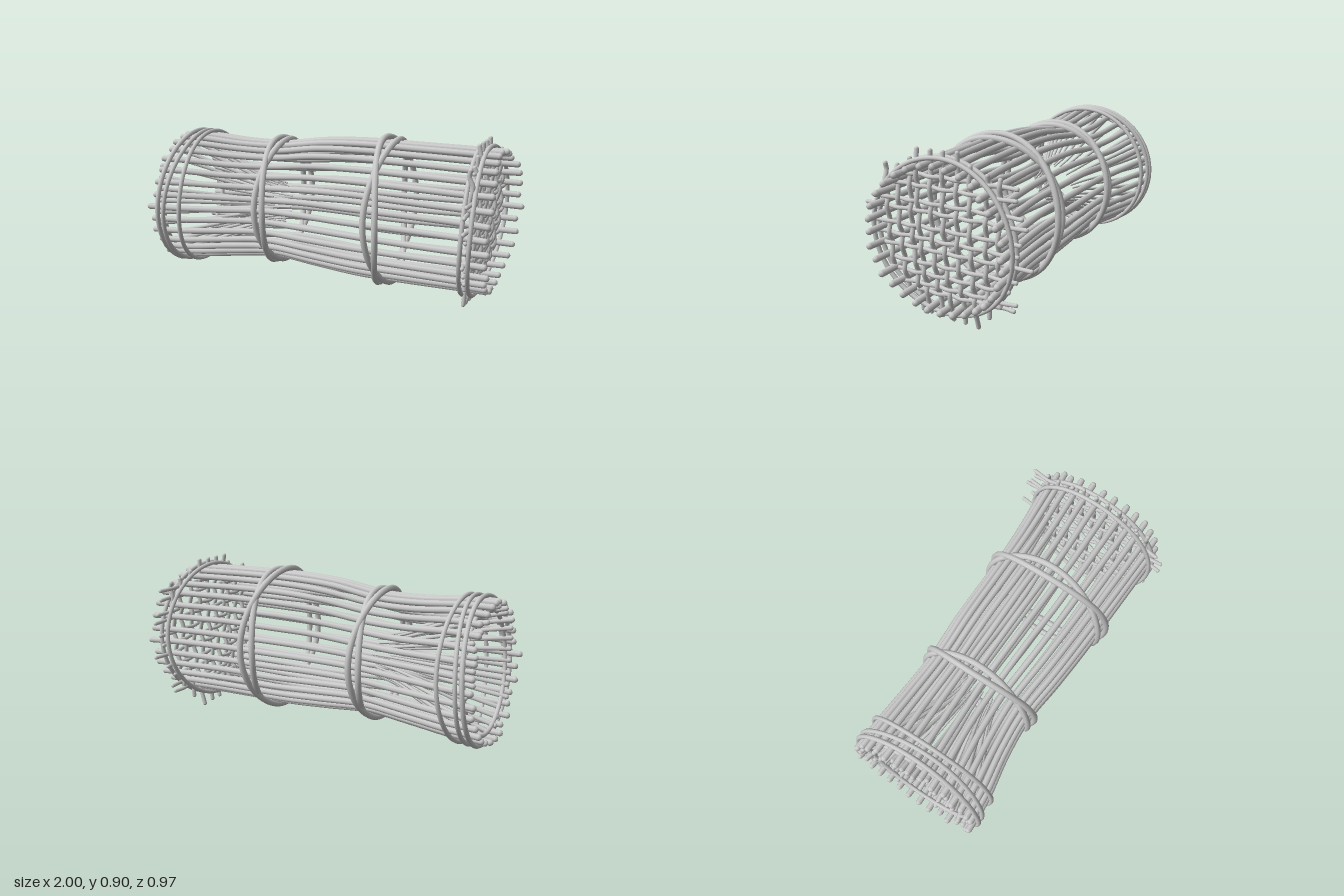
import * as THREE from 'three';
import { mergeGeometries } from 'three/addons/utils/BufferGeometryUtils.js';

const V = (x, y, z) => new THREE.Vector3(x, y, z);
const material = new THREE.MeshStandardMaterial({ color: 0xcccccc });

// small seeded generator, -1..1
let seed = 7;
const jitter = () => {
  seed = (seed * 16807) % 2147483647;
  return (seed / 2147483647) * 2 - 1;
};

// round cane through the points, optionally tapered, with rounded ends
function cane(points, r0, r1 = r0, segments = 24) {
  const sides = 8;
  const curve = new THREE.CatmullRomCurve3(points);
  const tube = new THREE.TubeGeometry(curve, segments, r0, sides);
  const p = tube.attributes.position, n = tube.attributes.normal;
  for (let i = 0; i < p.count; i++) {
    const d = (r1 - r0) * Math.floor(i / (sides + 1)) / segments;
    p.setXYZ(i, p.getX(i) + n.getX(i) * d, p.getY(i) + n.getY(i) * d, p.getZ(i) + n.getZ(i) * d);
  }
  const ends = [[points[0], r0], [points[points.length - 1], r1]].map(([c, r]) =>
    new THREE.SphereGeometry(r, 8, 6).translate(c.x, c.y, c.z));
  return mergeGeometries([tube, ...ends]);
}

// basket outline: x, centre y, centre z, radius in y, radius in z
const profile = [
  [-1.0, 0.45, 0.01, 0.365, 0.37],
  [-0.8, 0.455, 0.01, 0.36, 0.36],
  [-0.55, 0.46, 0.0, 0.335, 0.33],
  [-0.32, 0.47, 0.0, 0.325, 0.315],
  [-0.05, 0.475, 0.01, 0.355, 0.335],
  [0.2, 0.47, 0.02, 0.372, 0.345],
  [0.5, 0.465, 0.025, 0.372, 0.355],
  [0.8, 0.46, 0.02, 0.37, 0.375],
  [1.0, 0.455, 0.015, 0.37, 0.39],
];
function onBasket(x, a, out = 0) {
  let i = 0;
  while (i < profile.length - 2 && profile[i + 1][0] < x) i++;
  const A = profile[i], B = profile[i + 1];
  const t = (x - A[0]) / (B[0] - A[0]);
  const [, cy, cz, ry, rz] = A.map((v, k) => v + (B[k] - v) * t);
  return V(x, cy + (ry + out) * Math.sin(a), cz + (rz + out) * Math.cos(a));
}

// closed hoop through 48 points given by angle
function closedHoop(pointAt, r) {
  const pts = [];
  for (let i = 0; i < 48; i++) pts.push(pointAt((i / 48) * Math.PI * 2));
  return new THREE.TubeGeometry(new THREE.CatmullRomCurve3(pts, true), 96, r, 8, true);
}
// hoop following the wall; xAt gives its position along the length
const hoop = (xAt, out, r) => closedHoop((a) => onBasket(xAt(a), a, out), r);

export function createModel() {
  const group = new THREE.Group();
  const add = (name, parts) => {
    const mesh = new THREE.Mesh(mergeGeometries(parts), material);
    mesh.name = name;
    group.add(mesh);
  };

  // long canes forming the waisted wall, and the tapered funnel canes inside
  const COUNT = 32, wall = [], funnel = [];
  for (let i = 0; i < COUNT; i++) {
    const a = (i / COUNT) * Math.PI * 2;
    const s = Math.sin(a), c = Math.cos(a);
    const x0 = i === 0 ? -0.983 : -0.958 + 0.02 * s + jitter() * 0.012;
    const x1 = i === 16 ? 0.983 : 0.915 + 0.02 * s + 0.04 * c * c - 0.012 * c + jitter() * 0.012;
    const xs = [x0, -0.8, -0.55, -0.32, -0.05, 0.2, 0.5, 0.8, x1];
    wall.push(cane(xs.map((x) => onBasket(x, a + jitter() * 0.008)), 0.0175, 0.0175, 40));

    const b = a + Math.PI / COUNT;
    const at = (x, r) => V(x, 0.45 + r * Math.sin(b), 0.01 + r * Math.cos(b));
    funnel.push(cane([
      at(-0.94 + jitter() * 0.02, 0.345), at(-0.8, 0.3), at(-0.6, 0.215),
      at(-0.45, 0.15), at(-0.33 + jitter() * 0.02, 0.118),
    ], 0.014, 0.005));
  }
  add('wallCanes', wall);
  add('funnelCanes', funnel);

  // wavy hoops binding the mouth, outside the wall and between wall and funnel
  add('mouthHoops', [
    hoop((a) => -0.912 + 0.028 * Math.sin(a) - 0.01 * Math.cos(2 * a), 0.026, 0.013),
    hoop((a) => -0.872 + 0.035 * Math.sin(a) - 0.015 * Math.cos(2 * a + 0.5), 0.026, 0.012),
    hoop((a) => -0.8 + 0.028 * Math.sin(a) + 0.012 * Math.cos(2 * a), 0.026, 0.012),
    hoop((a) => -0.91 + 0.025 * Math.sin(a), -0.026, 0.012),
  ]);

  // pairs of hoops that cross each other around the body
  for (const [name, x, swing] of [['waistHoops', -0.32, 0.027], ['bodyHoops', 0.335, 0.035]]) {
    add(name, [1, -1].map((s) =>
      hoop((a) => x + s * swing * Math.cos(2 * a), 0.026 + s * 0.005, 0.0175)));
  }

  // bowed, tilted surface of the closed end
  const endX = (y, z) => 0.858 + 0.055 * (y - 0.45) - 0.2 * (y - 0.45) ** 2 - 0.045 * z;
  const endHoop = (offset) => closedHoop((a) => {
    const y = 0.457 + 0.398 * Math.sin(a), z = 0.02 + 0.405 * Math.cos(a);
    return V(endX(y, z) + offset, y, z);
  }, 0.012);
  add('endHoops', [endHoop(0.022), endHoop(-0.022)]);

  // woven grille: uprights [bottom z, top z, bottom, top] and crossbars [y, low z, high z]
  const uprights = [
    [0.335, 0.355, 0.27, 0.79], [0.265, 0.28, 0.15, 0.79], [0.19, 0.205, 0.04, 0.83],
    [0.14, 0.165, 0.035, 0.88], [0.07, 0.085, 0.03, 0.88], [0.005, 0.012, 0.022, 0.88],
    [-0.065, -0.07, 0.02, 0.885], [-0.14, -0.145, 0.012, 0.83],
    [-0.215, -0.24, 0.085, 0.8], [-0.285, -0.31, 0.16, 0.79],
  ];
  const crossbars = [
    [0.76, -0.4, 0.29], [0.705, -0.395, 0.29], [0.625, -0.425, 0.435], [0.58, -0.45, 0.475],
    [0.5, -0.415, 0.475], [0.44, -0.4, 0.415], [0.385, -0.472, 0.4], [0.31, -0.385, 0.415],
    [0.25, -0.34, 0.36], [0.19, -0.375, 0.3], [0.155, -0.36, 0.2],
  ];
  const weave = 0.008;
  const inside = (v, lo, hi) => v > lo + 0.02 && v < hi - 0.02;
  add('grilleUprights', uprights.map(([z0, z1, lo, hi], i) => {
    const zAt = (y) => z0 + (z1 - z0) * (y - lo) / (hi - lo);
    const pts = [V(endX(lo, z0), lo, z0)];
    for (let j = crossbars.length - 1; j >= 0; j--) {
      const y = crossbars[j][0];
      if (inside(y, lo, hi)) {
        pts.push(V(endX(y, z0) + ((i + j) % 2 ? weave : -weave), y, zAt(y) + jitter() * 0.002));
      }
    }
    pts.push(V(endX(hi, z1), hi, z1));
    return cane(pts, 0.012, 0.012, 40);
  }));
  add('grilleCrossbars', crossbars.map(([y, lo, hi], j) => {
    const pts = [V(endX(y, lo), y, lo)];
    for (let i = uprights.length - 1; i >= 0; i--) {
      const z = (uprights[i][0] + uprights[i][1]) / 2;
      if (inside(z, lo, hi)) {
        pts.push(V(endX(y, z) + ((i + j) % 2 ? -weave : weave), y + jitter() * 0.002, z));
      }
    }
    pts.push(V(endX(y, hi), y, hi));
    return cane(pts, 0.011, 0.011, 40);
  }));

  return group;
}
